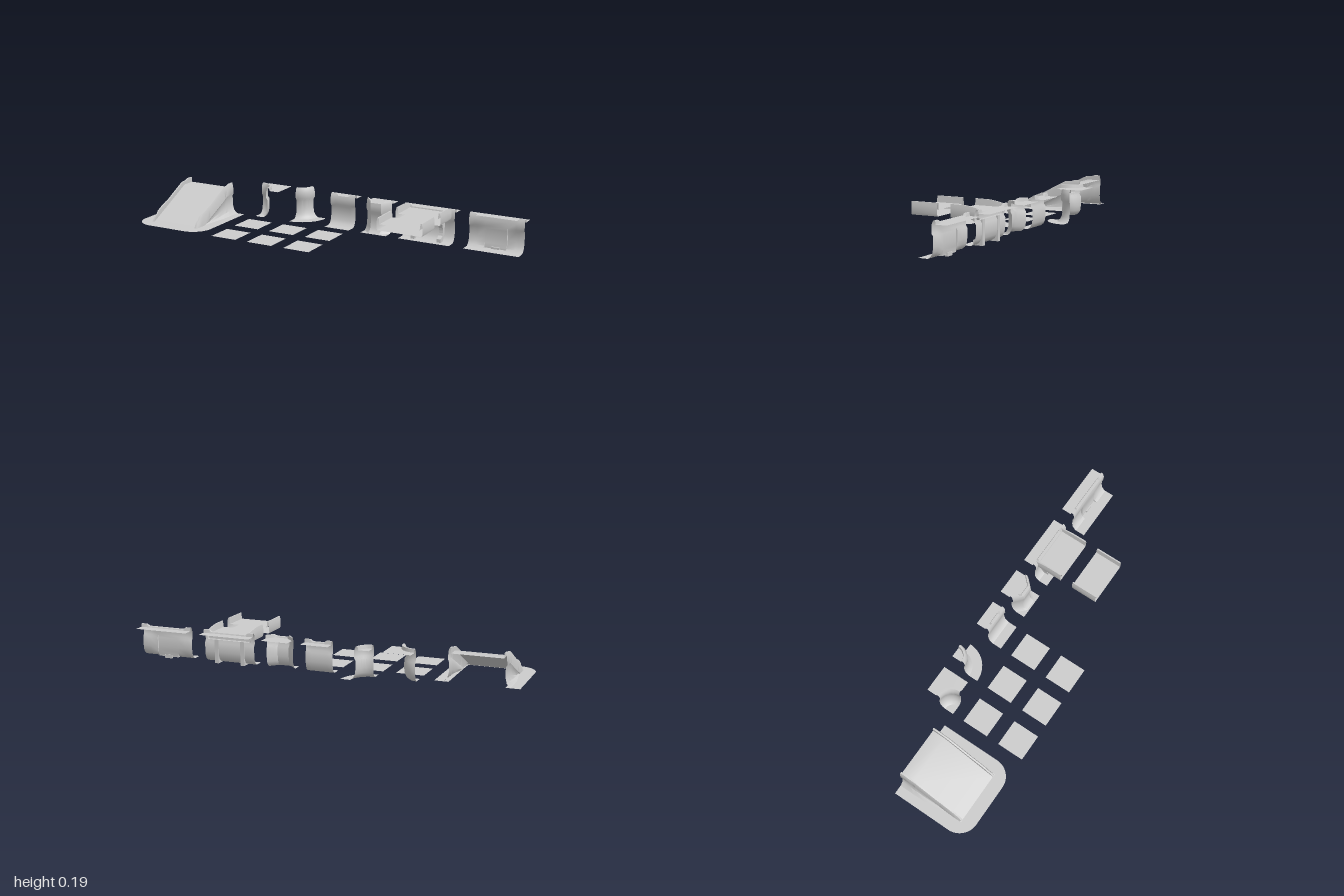
import * as THREE from 'three';
import { toCreasedNormals } from 'three/addons/utils/BufferGeometryUtils.js';

const H = 0.0725;      // half a tile
const FLOOR = 0.008;   // lower ground height
const TOP = 0.16;      // plateau height
const ROW = -0.215;    // z of the row of wall pieces
const mat = new THREE.MeshStandardMaterial({ color: 0xcccccc, side: THREE.DoubleSide });

function add(parent, name, geometry, x = 0, y = 0, z = 0) {
  const m = new THREE.Mesh(geometry, mat);
  m.name = name;
  m.position.set(x, y, z);
  parent.add(m);
  return m;
}

// Skin between equal-length rows of [x, y, z] points
function loft(rows, crease = 0.6) {
  const n = rows[0].length, index = [];
  for (let i = 0; i < rows.length - 1; i++) {
    for (let j = 0; j < n - 1; j++) {
      const a = i * n + j, b = a + 1, c = a + n, d = c + 1;
      index.push(a, b, c, b, d, c);
    }
  }
  const g = new THREE.BufferGeometry();
  g.setAttribute('position', new THREE.Float32BufferAttribute(rows.flat(2), 3));
  g.setIndex(index);
  return toCreasedNormals(g, crease);
}

function flat(shape) {
  return new THREE.ShapeGeometry(shape, 10).rotateX(-Math.PI / 2);
}

// Cliff section from plateau to floor: [distance forward, height]
const cliff = [
  [-0.019, TOP], [-0.016, 0.177], [-0.006, 0.177], [0.0, 0.166], [0.003, 0.15], [0.003, 0.12],
  [-0.005, 0.107], [-0.005, 0.06], [-0.001, 0.035], [0.008, 0.018], [0.022, FLOOR],
];
// Straight-faced section for the doorway panel
const panel = cliff.map(([d, y], i) => (i < 6 ? [d, y] : [0.003, y]));

// One section of a cliff: p on the wall line, n towards the lower floor
function section(p, n, back, front, dip = 0, profile = cliff) {
  const mid = profile.map(([d, y], i) => [
    p[0] + n[0] * d, i === 1 || i === 2 ? y - dip : y, Math.min(p[1] + n[1] * d, H),
  ]);
  return [[back[0], TOP, back[1]], ...mid, [front[0], FLOOR, front[1]]];
}

// The lip sinks a little away from the ends of a straight wall
function lipDip(x, half) {
  return 0.011 * THREE.MathUtils.smoothstep(half - Math.abs(x), 0.03, 0.042);
}

function straight(half, f = () => 0, profileAt = () => cliff, stops = []) {
  const xs = [-half, -half + 0.03, -half + 0.042, ...stops, half - 0.042, half - 0.03, half];
  return loft(xs.map((x, i) =>
    section([x, f(x)], [0, 1], [x, -H], [x, H], lipDip(x, half), profileAt(x, i))));
}

function corner(convex) {
  const rows = [];
  for (let i = 0; i <= 12; i++) {
    const a = (i / 12) * Math.PI / 2, s = Math.sin(a), c = Math.cos(a);
    if (convex) {
      rows.push(section([-H + H * s, -H + H * c], [s, c], [-H, -H], [-H + 2 * H * s, -H + 2 * H * c]));
    } else {
      const k = 2 * H / Math.max(s, c); // out to the square edge of the tile
      rows.push(section([-H + H * s, H - H * c], [-s, c], [-H + k * s, H - k * c], [-H, H]));
    }
  }
  return loft(rows);
}

// Walkway with a raised rail each side; stations are [z, rail drop]
function walkway(stations) {
  const half = [[0.118, 0.128], [0.122, 0.14], [0.122, 0.172], [0.118, 0.192], [0.111, 0.192], [0.107, TOP]];
  return loft(stations.map(([z, drop]) => {
    const side = (s) => half.map(([x, y]) => [s * x, y > 0.165 ? y - drop : y, z]);
    const ring = [...side(-1), ...side(1).reverse()];
    return [...ring, ring[0]];
  }));
}

function buildRamp() {
  const g = new THREE.Group();
  g.name = 'ramp';
  const hw = 0.13, zBack = -0.1425;
  const deckY = (z) => Math.min(0.15, FLOOR + Math.max(0, 0.212 - z) * 0.5);
  const bandY = (z) => Math.min(0.12, FLOOR + Math.max(0, 0.14 - z) * 0.477);

  // Sloped deck and flat landing
  add(g, 'rampDeck', loft([0.212, -0.072, zBack].map((z) => [[-hw, deckY(z), z], [hw, deckY(z), z]])));

  // Side walls with a stepped lip, overhanging band and flared foot: [z, lip height]
  const lip = [[0.214, 0.008], [0.198, 0.035], [0.18, 0.045], [0.171, 0.057], [0.14, 0.074], [0.095, 0.093],
    [0.082, 0.096], [0, 0.139], [-0.057, 0.168], [-0.09, 0.17], [-0.11, 0.177], [zBack, 0.177]];
  for (const s of [-1, 1]) {
    add(g, 'rampSide', loft(lip.map(([z, y]) => {
      const top = bandY(z), low = Math.max(FLOOR, top - 0.013);
      const foot = Math.min(1, (low - FLOOR) / 0.06);
      return [
        [hw, deckY(z)], [hw, y], [hw + 0.008, y], [hw + 0.013, Math.max(top, y - 0.015)],
        [hw + 0.016, top], [hw + 0.009, low], [hw + 0.009, FLOOR + (low - FLOOR) * 0.5],
        [hw + 0.012 + 0.004 * foot, FLOOR + (low - FLOOR) * 0.2], [hw + 0.016 + 0.019 * foot, FLOOR],
      ].map(([u, v]) => [s * u, v, z]);
    })));
  }

  // Ground apron around three sides with rounded front corners
  const w = 0.212, f = 0.2825, r = 0.1, inX = hw + 0.01;
  const apron = new THREE.Shape();
  apron.moveTo(-w, -zBack);
  apron.lineTo(-w, -f + r);
  apron.absarc(-w + r, -f + r, r, Math.PI, Math.PI * 1.5, false);
  apron.lineTo(w - r, -f);
  apron.absarc(w - r, -f + r, r, -Math.PI / 2, 0, false);
  apron.lineTo(w, -zBack);
  apron.lineTo(inX, -zBack);
  apron.lineTo(inX, -0.21);
  apron.lineTo(-inX, -0.21);
  apron.lineTo(-inX, -zBack);
  add(g, 'rampApron', flat(apron), 0, FLOOR, 0);
  g.position.x = -0.788;
  return g;
}

function buildBridgeWall() {
  const g = new THREE.Group();
  g.name = 'bridgeWall';
  add(g, 'bridgeCliff', straight(0.14));
  add(g, 'bridgeEnd', walkway([[-0.012, 0.015], [0.025, 0.007], [0.065, 0.001], [0.142, 0]]));
  // Curved braces from the foot of the wall to the walkway
  const brace = new THREE.Shape();
  brace.moveTo(-0.008, 0.002);
  brace.lineTo(0.042, 0.002);
  brace.lineTo(0.042, 0.026);
  brace.lineTo(0.022, 0.04);
  brace.quadraticCurveTo(0.008, 0.08, 0.04, 0.115);
  brace.lineTo(0.065, 0.128);
  brace.lineTo(-0.008, 0.128);
  const geo = new THREE.ExtrudeGeometry(brace, { depth: 0.022, bevelEnabled: false, curveSegments: 6 });
  geo.translate(0, 0, -0.011).rotateY(-Math.PI / 2);
  for (const x of [-0.073, 0.073]) add(g, 'bridgeBrace', geo, x);
  g.position.set(0.493, 0, ROW);
  return g;
}

function buildDoorWall() {
  const g = new THREE.Group();
  g.name = 'doorWall';
  // Paired stops make the sharp sides of the central panel
  const stops = [-0.0585, -0.0575, 0.0575, 0.0585];
  add(g, 'doorCliff', straight(0.145, undefined, (x) => (Math.abs(x) < 0.058 ? panel : cliff), stops));
  add(g, 'doorStep', new THREE.BoxGeometry(0.042, 0.018, 0.012), 0, 0.009, 0.005);
  g.position.set(0.855, 0, ROW);
  return g;
}

export function createModel() {
  const model = new THREE.Group();
  model.name = 'terrainKit';
  model.add(buildRamp());

  add(model, 'innerCorner', corner(false), -0.431, 0, ROW);
  add(model, 'outerCorner', corner(true), -0.217, 0, ROW);
  add(model, 'straightCliff', straight(H), -0.003, 0, ROW);

  // Cliff with a chamfered bay pushed forward
  const bay = (x) => 0.042 * THREE.MathUtils.clamp((0.066 - Math.abs(x)) / 0.032, 0, 1);
  add(model, 'bayCliff', straight(H, bay, undefined, [-0.0295, 0.0295]), 0.211, 0, ROW);

  model.add(buildBridgeWall());
  add(model, 'bridgeSpan', walkway([[-0.0715, 0], [0.0715, 0]]), 0.493, 0, 0.0705);
  model.add(buildDoorWall());

  // Flat ground tiles
  const tile = new THREE.PlaneGeometry(2 * H, 2 * H).rotateX(-Math.PI / 2);
  for (const x of [-0.431, -0.217, -0.003]) {
    for (const z of [-0.005, 0.21]) add(model, 'groundTile', tile, x, FLOOR, z);
  }
  return model;
}
